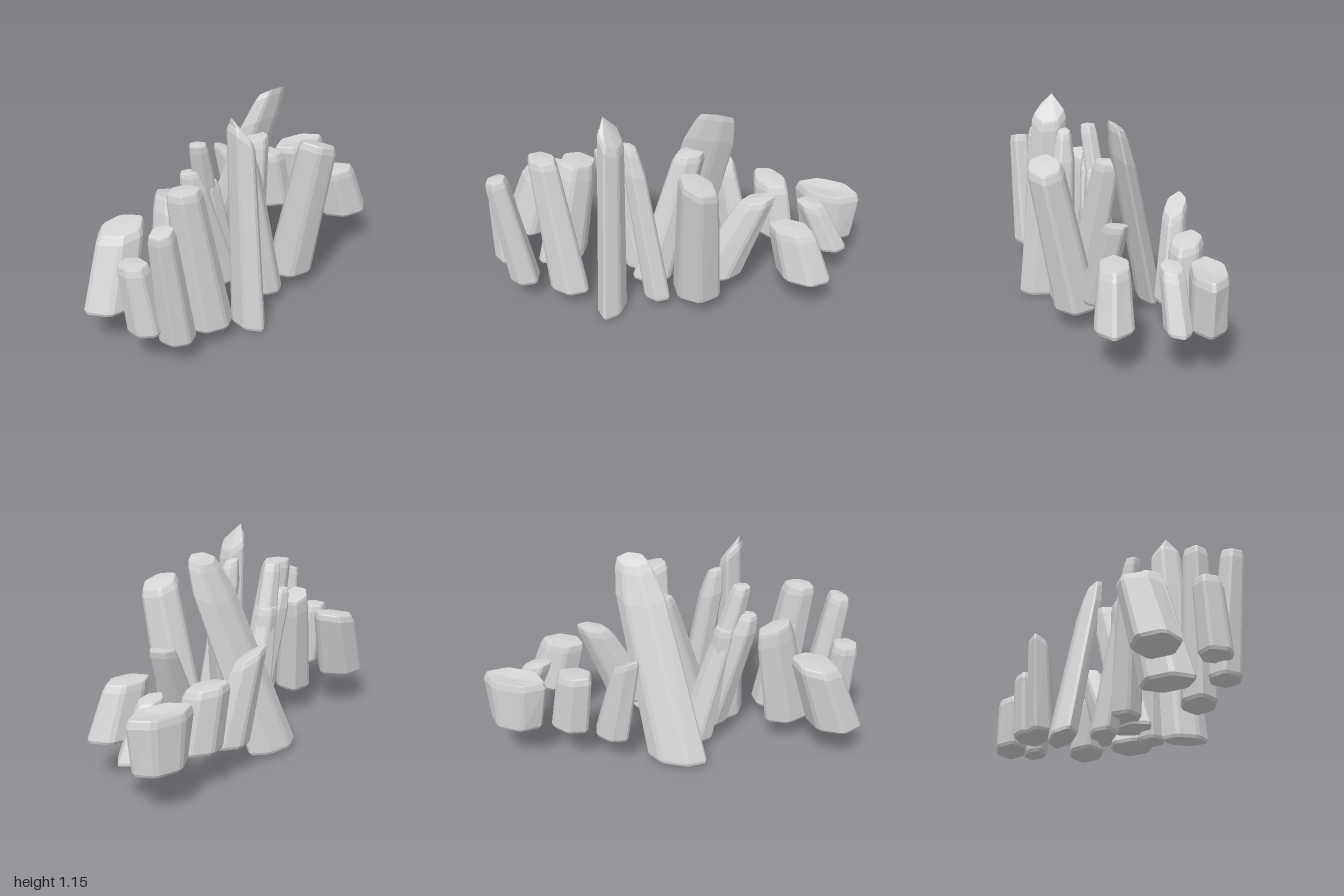
import * as THREE from 'three';

// Six-sided section with bevelled corners, long axis along x
const corners = [[1.08, 0.12], [0.44, 1.02], [-0.52, 0.92], [-1.08, -0.12], [-0.44, -1.02], [0.52, -0.92]];
const section = [];
corners.forEach((c, i) => {
  const p = corners[(i + 5) % 6], n = corners[(i + 1) % 6];
  for (const o of [p, n]) section.push([c[0] + (o[0] - c[0]) * 0.12, c[1] + (o[1] - c[1]) * 0.12]);
});

// Leaning prism lofted through horizontal rings, closed by a slanted cap
function crystalGeometry({ base, top, w, d, turn = 0, ws = 0.8, ds = ws, cap = 0.84, drop = 0.04, slant = [0, 0], tip = [0, 0.006, 0] }) {
  const a = THREE.MathUtils.degToRad(turn), cos = Math.cos(a), sin = Math.sin(a);
  const b = new THREE.Vector3(...base), t = new THREE.Vector3(...top);
  const h = t.y - b.y;
  const ring = (f, sx, sz, tilt) => {
    const c = b.clone().lerp(t, f);
    return section.map(([u, v]) => {
      const lx = u * w / 2 * sx, lz = v * d / 2 * sz;
      const x = lx * cos - lz * sin, z = lx * sin + lz * cos;
      return new THREE.Vector3(c.x + x, c.y + tilt * (x * slant[0] + z * slant[1]), c.z + z);
    });
  };
  const edge = 0.35 + 0.65 * cap;
  const rings = [
    ring(0, 0.94, 0.9, 0),
    ring(0.016 / h, 1, 1, 0),
    ring(1 - drop / h, ws, ds, 1),
    ring(1 - drop * 0.2 / h, ws * edge, ds * edge, 1),
    ring(1, ws * cap, ds * cap, 1),
  ];
  const tris = [], n = section.length;
  const apex = t.clone().add(new THREE.Vector3(...tip));
  for (let i = 0; i < n; i++) {
    const j = (i + 1) % n;
    for (let k = 0; k < rings.length - 1; k++) {
      const lo = rings[k], hi = rings[k + 1];
      tris.push(lo[i], hi[i], lo[j], lo[j], hi[i], hi[j]);
    }
    tris.push(b, rings[0][i], rings[0][j]);
    const last = rings[rings.length - 1];
    tris.push(apex, last[j], last[i]);
  }
  const g = new THREE.BufferGeometry().setFromPoints(tris);
  g.computeVertexNormals();
  return g;
}

const crystals = {
  // left group
  farLeftCrystal: { base: [-0.86, 0.21, -0.02], top: [-0.735, 0.605, -0.065], w: 0.29, d: 0.23, ws: 0.92, slant: [0.15, 0] },
  leftBackCrystal: { base: [-0.595, 0.15, 0.125], top: [-0.505, 0.74, 0.035], w: 0.29, d: 0.2, turn: -50, ws: 0.78, drop: 0.08, slant: [-0.3, 0] },
  leftSmallCrystal: { base: [-0.85, 0.2, 0.27], top: [-0.885, 0.57, 0.23], w: 0.18, d: 0.16, turn: 30, ws: 0.88 },
  leftFrontCrystal: { base: [-0.73, 0.14, 0.36], top: [-0.83, 0.785, 0.39], w: 0.18, d: 0.16, turn: 20, ws: 0.72, slant: [0.3, 0] },
  leftTallCrystal: { base: [-0.49, 0.1, 0.32], top: [-0.61, 0.885, 0.285], w: 0.245, d: 0.18, turn: 12, ws: 0.74 },

  // centre group
  spireCrystal: { base: [-0.24, 0.005, 0.335], top: [-0.235, 1.065, 0.27], w: 0.24, d: 0.14, turn: 90, ws: 0.76, ds: 0.85, cap: 0.82, slant: [-1, -0.2], tip: [-0.045, 0.09, -0.02] },
  centreFrontCrystal: { base: [-0.01, 0.07, 0.24], top: [-0.16, 0.97, 0.2], w: 0.16, d: 0.13, turn: 15, ws: 0.85, drop: 0.14, cap: 0.55, slant: [-0.3, 0] },
  centreBackCrystal: { base: [-0.09, 0.05, -0.05], top: [-0.325, 0.96, 0.045], w: 0.2, d: 0.14, ws: 0.52, ds: 0.66 },
  centreLeftCrystal: { base: [-0.16, 0.12, 0.04], top: [-0.365, 0.81, 0.02], w: 0.2, d: 0.17, ws: 0.76, drop: 0.1, cap: 0.6 },
  centreInnerCrystal: { base: [-0.15, 0.12, 0.04], top: [-0.25, 0.73, 0.01], w: 0.17, d: 0.14, turn: 45, ws: 0.8 },
  centreRightCrystal: { base: [-0.06, 0.11, 0.12], top: [0.115, 0.87, 0.01], w: 0.24, d: 0.17, turn: -35, ws: 0.72 },
  backSlabCrystal: { base: [-0.04, 0.03, -0.255], top: [0.245, 1.09, -0.015], w: 0.32, d: 0.135, turn: 0, ws: 0.82, ds: 0.95, drop: 0.18, cap: 0.62, slant: [0, 0.6] },

  // right group
  rightFrontCrystal: { base: [0.2, 0.1, 0.19], top: [0.235, 0.9, 0.35], w: 0.265, d: 0.23, turn: 5, ws: 0.8, cap: 0.85, slant: [-0.35, 0] },
  rightLeaningCrystal: { base: [0.28, 0.17, 0.11], top: [0.485, 0.65, 0.025], w: 0.27, d: 0.14, turn: -15, ws: 0.74, ds: 0.85, slant: [0.2, 0] },
  rightWideCrystal: { base: [0.765, 0.235, 0.085], top: [0.675, 0.525, 0.07], w: 0.29, d: 0.2, turn: 5, ws: 0.88, ds: 0.8, cap: 0.88 },
  rightThinCrystal: { base: [0.87, 0.24, -0.205], top: [0.74, 0.52, -0.195], w: 0.18, d: 0.13, turn: -10, ws: 0.9, cap: 0.85, slant: [-0.15, 0] },
  farRightCrystal: { base: [0.825, 0.235, -0.36], top: [0.815, 0.525, -0.36], w: 0.29, d: 0.18, turn: 5, ws: 1.22, ds: 1, cap: 0.9, tip: [0, -0.015, 0] },
  rightBackCrystal: { base: [0.545, 0.22, -0.305], top: [0.495, 0.56, -0.33], w: 0.25, d: 0.17, turn: 25, ws: 0.94, slant: [-0.1, -0.1] },
  rightPointedCrystal: { base: [0.32, 0.17, -0.285], top: [0.215, 0.65, -0.335], w: 0.22, d: 0.14, turn: 25, ws: 0.85, slant: [-0.45, -0.35] },
};

export function createModel() {
  const stone = new THREE.MeshStandardMaterial({ color: 0xd4d4d4 });
  stone.name = 'paleGreyStone';
  stone.flatShading = true;
  const group = new THREE.Group();
  group.name = 'crystalCluster';
  for (const [name, spec] of Object.entries(crystals)) {
    const mesh = new THREE.Mesh(crystalGeometry(spec), stone);
    mesh.name = name;
    group.add(mesh);
  }
  return group;
}
